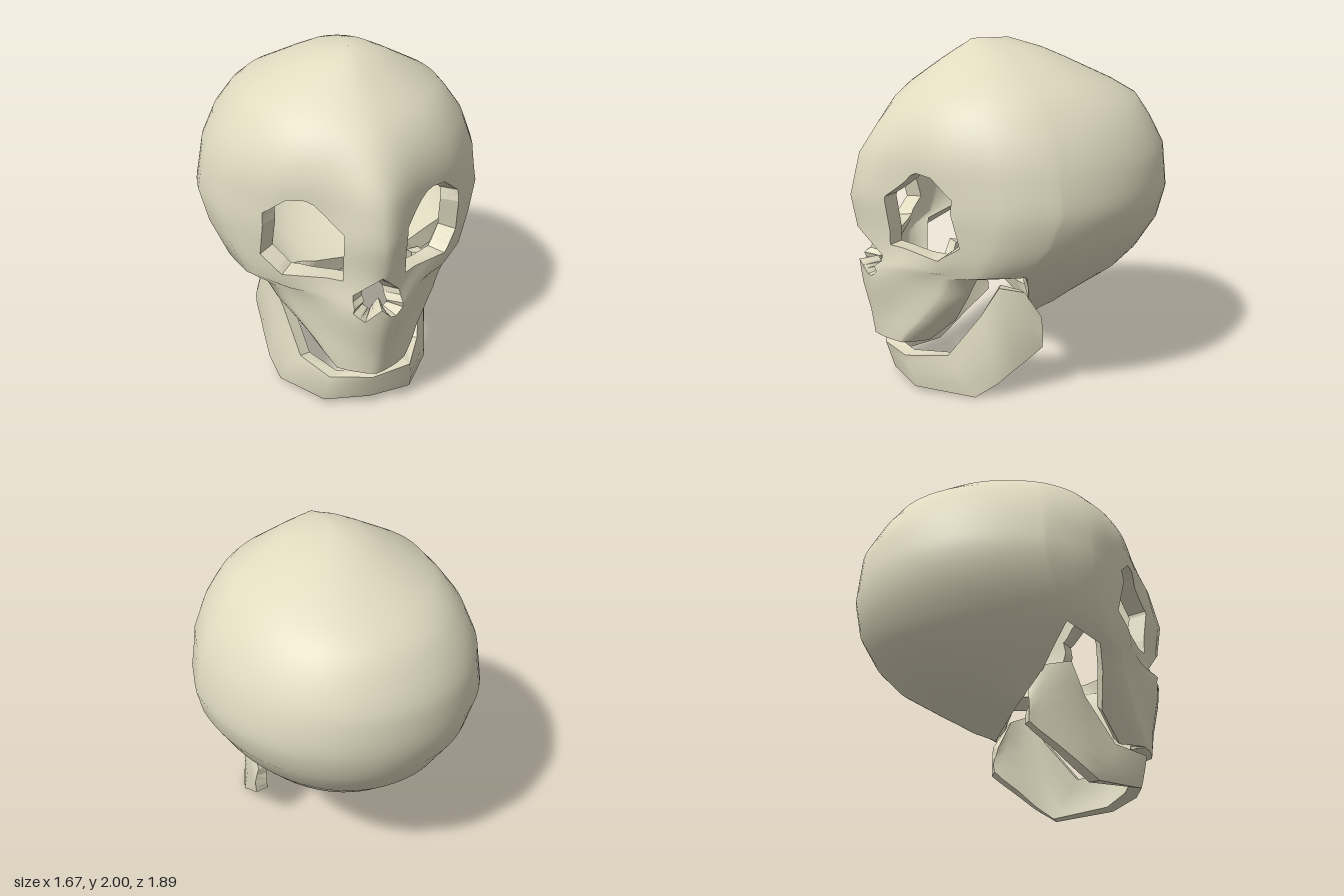
import * as THREE from 'three';
import { mergeGeometries, mergeVertices } from 'three/addons/utils/BufferGeometryUtils.js';

const { lerp, smoothstep, clamp } = THREE.MathUtils;

// Rows of a section table, subdivided to a fine step in y (first value)
function refine(table, step) {
  const out = [table[0]];
  for (let i = 1; i < table.length; i++) {
    const a = table[i - 1], b = table[i];
    const n = Math.max(2, Math.ceil(Math.abs(b[0] - a[0]) / step));
    for (let k = 1; k <= n; k++) out.push(a.map((v, j) => lerp(v, b[j], k / n)));
  }
  return out;
}

// Piecewise linear lookup of a whole row at x
function lookup(table, x) {
  const up = table[table.length - 1][0] > table[0][0];
  let i = 1;
  while (i < table.length - 1 && (up ? x > table[i][0] : x < table[i][0])) i++;
  const a = table[i - 1], b = table[i];
  const t = clamp((x - a[0]) / (b[0] - a[0]), 0, 1);
  return a.map((v, j) => lerp(v, b[j], t));
}

function geometry(points, index) {
  const g = new THREE.BufferGeometry();
  g.setAttribute('position', new THREE.Float32BufferAttribute(points.flat(), 3));
  if (index) g.setIndex(index);
  return g;
}

// Grid surface; point(i, j) gives positions, rows run downward, columns left to right
function grid(nr, nc, point, isCut = () => false, snap = (p) => p) {
  const pts = [], cut = [], index = [];
  for (let i = 0; i < nr; i++) for (let j = 0; j < nc; j++) {
    const p = point(i, j);
    const c = isCut(p);
    cut.push(c);
    pts.push(c ? snap(p) : p);
  }
  const tri = (...t) => { if (!t.every((v) => cut[v])) index.push(...t); };
  for (let i = 0; i < nr - 1; i++) for (let j = 0; j < nc - 1; j++) {
    const a = i * nc + j, c = a + nc;
    tri(a, c, a + 1);
    tri(a + 1, c, c + 1);
  }
  return geometry(pts, index);
}

// Give a surface thickness: smooth outside and inside, sharp walls on open edges.
// depthShare(p) limits how far the inside moves along z
function solidify(surface, thickness, smoothing, depthShare) {
  const g = mergeVertices(surface, 1e-4);
  const pos = g.attributes.position, idx = [];
  for (let i = 0; i < g.index.count; i += 3) {
    const t = [0, 1, 2].map((k) => g.index.getX(i + k));
    if (new Set(t).size === 3) idx.push(t);
  }
  g.setIndex(idx.flat());
  g.computeVertexNormals();
  const P = [];
  let N = [];
  for (let i = 0; i < pos.count; i++) {
    P.push(new THREE.Vector3().fromBufferAttribute(pos, i));
    N.push(new THREE.Vector3().fromBufferAttribute(g.attributes.normal, i));
  }
  for (let s = 0; s < smoothing; s++) {
    const M = N.map((n) => n.clone());
    for (const t of idx) for (const a of t) for (const b of t) if (a !== b) M[a].add(N[b]);
    N = M.map((n) => n.normalize());
  }
  const Q = P.map((p, i) => {
    const n = N[i].clone();
    n.z *= depthShare(p);
    return p.clone().addScaledVector(n, -thickness);
  });
  const edges = new Set();
  for (const [a, b, c] of idx) [[a, b], [b, c], [c, a]].forEach((e) => edges.add(e.join()));
  const wall = [];
  for (const e of edges) {
    const [a, b] = e.split(',').map(Number);
    if (!edges.has(`${b},${a}`)) wall.push(P[b], P[a], Q[a], P[b], Q[a], Q[b]);
  }
  const part = (V, normals) => {
    const h = geometry(V.map((v) => v.toArray()));
    if (normals) h.setAttribute('normal', new THREE.Float32BufferAttribute(normals.flatMap((n) => n.toArray()), 3));
    else h.computeVertexNormals();
    return h;
  };
  const out = idx.flat(), inn = idx.flatMap(([a, b, c]) => [a, c, b]);
  return mergeGeometries([
    part(out.map((i) => P[i]), out.map((i) => N[i])),
    part(inn.map((i) => Q[i]), inn.map((i) => N[i].clone().negate())),
    part(wall),
  ]);
}

// Skull sections: y, front or back z, z of the side edge, half width
const upperFront = [
  [2, .22, .1, 1e-5], [1.94, .31, .08, .2], [1.88, .4, .06, .32], [1.75, .58, .03, .56],
  [1.67, .68, .01, .63], [1.55, .78, 0, .72], [1.39, .89, 0, .79], [1.15, .95, 0, .835],
  [.97, .92, .05, .79], [.79, .92, .15, .7],
];
const upperBack = [0, -.2, -.34, -.62, -.76, -.84, -.925, -.945, -.91, -.81];
const front = [...upperFront, [.75, .915, .38, .54], [.62, .9, .41, .47], [.44, .86, .44, .33], [.29, .84, .57, .22]];
const back = [...upperFront.map((r, i) => [r[0], upperBack[i], r[2], r[3]]),
  [.68, -.7, .1, .6], [.58, -.5, .06, .5], [.5, -.3, .0, .43], [.46, -.03, -.02, .4]];
// Plan of the front half: share of width, then share of depth at brow, cheek and muzzle
const plan = [
  [0, 1, 1, 1], [.25, .806, .9, .93], [.335, .74, .8, .89], [.5, .655, .62, .82],
  [.66, .57, .46, .74], [.91, .3, .25, .58], [.98, .08, .07, .3], [1, 0, 0, 0],
];

function frontZ(x, [y, f, zc, w]) {
  const u = Math.min(1, Math.abs(x) / w);
  const [, brow, cheek, muzzle] = lookup(plan, u);
  let share = lerp(brow, Math.sqrt(1 - u * u), .85 * smoothstep(y, 1.15, 1.75));
  share = lerp(cheek, share, smoothstep(y, .75, .79));
  return zc + (f - zc) * lerp(muzzle, share, smoothstep(y, .29, .7));
}

// Openings, as outlines seen from the front
const eye = [[.175, .885], [.175, 1.17], [.31, 1.31], [.35, 1.33], [.44, 1.32], [.555, 1.22], [.57, .95], [.47, .86]];
const nose = [[0, .96], [.13, .81], [.14, .72], [.08, .67], [0, .76], [-.08, .67], [-.14, .72], [-.13, .81]];
const holes = [eye, eye.map(([x, y]) => [-x, y]), nose];

function inside(hole, x, y) {
  let c = false;
  hole.forEach(([ax, ay], i) => {
    const [bx, by] = hole[(i + 1) % hole.length];
    if ((ay > y) !== (by > y) && x < ax + (bx - ax) * (y - ay) / (by - ay)) c = !c;
  });
  return c;
}

// Nearest point of an outline, preferring its corners
function nearest(hole, x, y) {
  const corner = hole.find(([ax, ay]) => Math.hypot(ax - x, ay - y) < .024);
  if (corner) return corner;
  let best = null, dist = Infinity;
  hole.forEach(([ax, ay], i) => {
    const [bx, by] = hole[(i + 1) % hole.length];
    const dx = bx - ax, dy = by - ay;
    const t = clamp(((x - ax) * dx + (y - ay) * dy) / (dx * dx + dy * dy), 0, 1);
    const p = [ax + dx * t, ay + dy * t], d = Math.hypot(p[0] - x, p[1] - y);
    if (d < dist) { dist = d; best = p; }
  });
  return best;
}

function skullGeometry() {
  const fr = refine(front, .02), br = refine(back, .02), nf = 110, nb = 40;
  const holeAt = ([x, y]) => holes.find((h) => inside(h, x, y));
  const face = grid(fr.length, nf + 1, (i, j) => {
    const r = fr[i];
    const x = Math.sin((j / nf - .5) * Math.PI) * r[3];
    return [x, r[0], frontZ(x, r)];
  }, (p) => !!holeAt(p), (p) => {
    const [x, y] = nearest(holeAt(p), p[0], p[1]);
    return [x, y, frontZ(x, lookup(front, y))];
  });
  const full = (v) => Math.sign(v) * Math.abs(v) ** .95;
  const rear = grid(br.length, nb + 1, (i, j) => {
    const [y, b, zc, w] = br[i], a = j / nb * Math.PI;
    return [w * full(Math.cos(a)), y, zc + (b - zc) * full(Math.sin(a))];
  });
  // Cheeks and upper jaw thicken sideways only, so their rear edges stay in line
  const depthShare = (p) => 1 - smoothstep(Math.abs(p.x), .15, .3) * (1 - smoothstep(p.y, .7, .84));
  return solidify(mergeGeometries([face, rear]), .11, 20, depthShare);
}

// Jaw columns from chin to hinge: top point, bottom point
const jaw = [
  [0, .22, .78, 0, .05, .73], [.24, .225, .72, .26, .03, .67], [.36, .24, .5, .46, 0, .37],
  [.42, .48, .32, .5, .08, .25], [.48, .66, .23, .51, .17, .13], [.495, .62, .08, .515, .24, .03],
  [.5, .46, -.02, .52, .28, -.02],
];

function jawGeometry() {
  const mirrored = jaw.slice(1).reverse().map(([a, b, c, d, e, f]) => [-a, b, c, -d, e, f]);
  const cols = [...mirrored, ...jaw], n = 4;
  return solidify(grid(n + 1, cols.length, (i, j) => {
    const c = cols[j], t = i / n, bulge = 1 + .03 * Math.sin(t * Math.PI);
    return [lerp(c[0], c[3], t) * bulge, lerp(c[1], c[4], t), lerp(c[2], c[5], t)];
  }), .075, 0, () => 1);
}

export function createModel() {
  const group = new THREE.Group();
  const bone = new THREE.MeshStandardMaterial({ color: 0xe0dac0 });
  const add = (name, geo) => {
    const mesh = new THREE.Mesh(geo, bone);
    mesh.name = name;
    group.add(mesh);
  };
  add('cranium', skullGeometry());
  add('lowerJaw', jawGeometry());
  return group;
}
